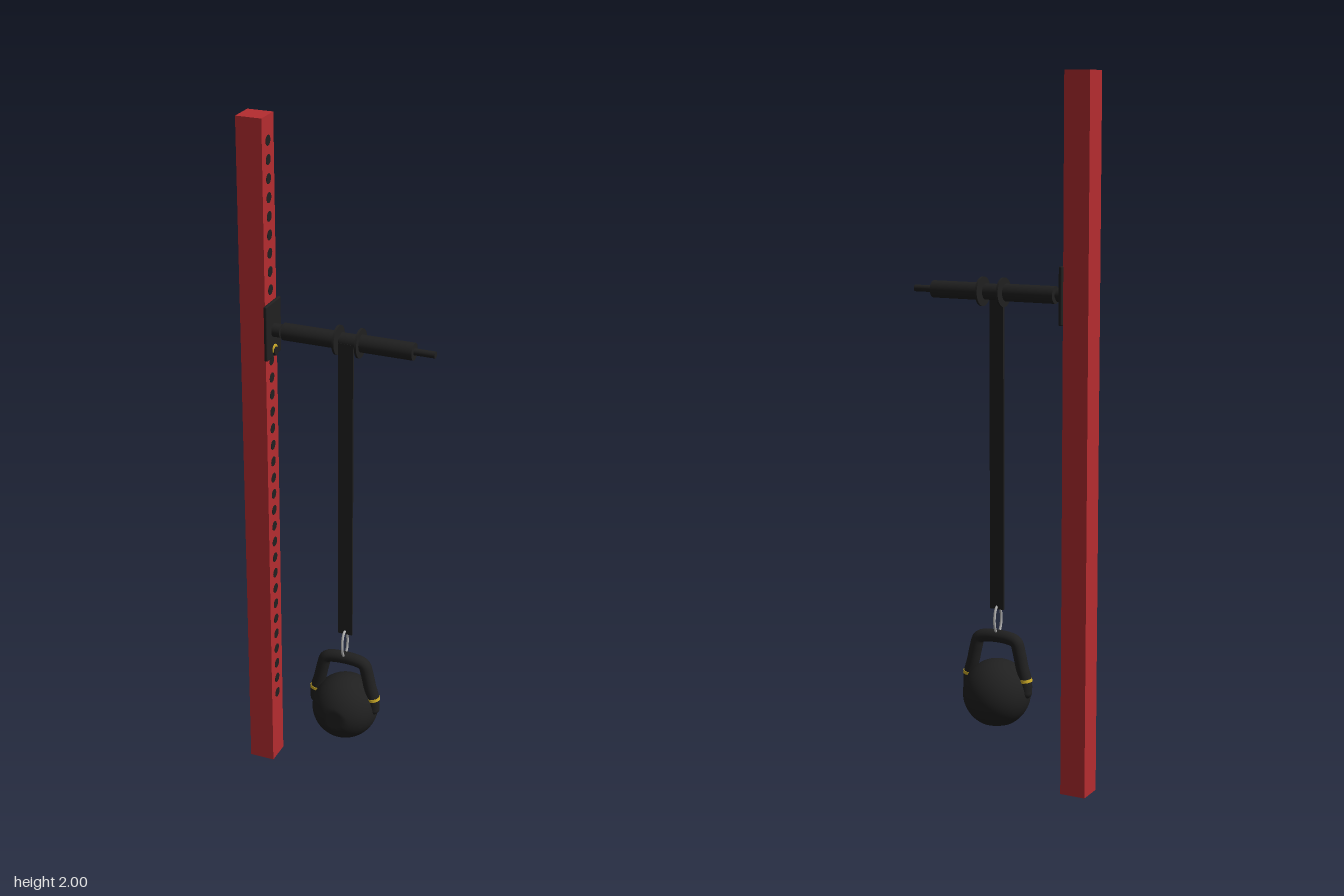
import * as THREE from 'three';
import { RoundedBoxGeometry } from 'three/addons/geometries/RoundedBoxGeometry.js';

const material = (name, color, side = THREE.FrontSide) => {
  const m = new THREE.MeshStandardMaterial({ color, side });
  m.name = name;
  return m;
};

export function createModel() {
  const red = material('red paint', 0xb52c30);
  const black = material('matt black', 0x202020);
  const gold = material('gold', 0xd0ae28);
  const steel = material('steel', 0xb4b4b4);

  const root = new THREE.Group();
  root.name = 'gripTrainer';
  const armY = 1.403, armZ = -0.018;
  const bellX = 0.028, bellY = 0.248;

  const add = (name, geometry, mat, x = 0, y = 0, z = 0, parent = root) => {
    const mesh = new THREE.Mesh(geometry, mat);
    mesh.name = name;
    mesh.position.set(x, y, z);
    parent.add(mesh);
    return mesh;
  };
  // Cylinder lying along x, from x0 to x1
  const rod = (name, x0, x1, r, mat = black, y = armY, z = armZ, sides = 32) =>
    add(name, new THREE.CylinderGeometry(r, r, x1 - x0, sides).rotateZ(Math.PI / 2),
      mat, (x0 + x1) / 2, y, z);

  // Upright post with a row of pin holes on its inner face
  add('post', new THREE.BoxGeometry(0.075, 2, 0.075), red, -0.24, 1, armZ);
  for (let i = 0; i < 34; i++) {
    rod('pinHole', -0.2035, -0.2015, 0.0145, black, 1.933 - i * 0.0518, armZ, 20);
  }

  // Mounting plate with its lower locking bolt
  add('mountPlate', new RoundedBoxGeometry(0.01, 0.16, 0.095, 3, 0.0035), black, -0.198, 1.405, armZ);
  rod('lockBolt', -0.194, -0.186, 0.012, black, 1.341);
  rod('lockWasher', -0.194, -0.19, 0.014, gold, 1.347);

  // Horizontal arm: core, grips, flanges and end pin
  rod('armCollar', -0.194, -0.17, 0.019);
  rod('armCore', -0.172, 0.277, 0.0095);
  rod('innerGrip', -0.163, -0.011, 0.0243);
  rod('outerGrip', 0.065, 0.217, 0.0243);
  for (const x of [-0.003, 0.062]) rod('flange', x - 0.003, x + 0.003, 0.041);

  // Strap looped over the arm and hanging down its front
  rod('strapLoop', 0.007, 0.052, 0.0225);
  add('strap', new THREE.BoxGeometry(0.043, 0.908, 0.007), black, bellX, 0.949, 0.002);

  // Oval carabiner joining the strap to the handle
  const oval = new THREE.CatmullRomCurve3(
    Array.from({ length: 16 }, (_, i) => {
      const a = i / 16 * Math.PI * 2;
      return new THREE.Vector3(0, 0.041 * Math.sin(a), 0.021 * Math.cos(a));
    }), true);
  add('carabiner', new THREE.TubeGeometry(oval, 48, 0.0038, 10, true), steel, bellX, 0.463, 0.006);

  // Kettlebell body: a sphere flattened at the base and front
  const bell = new THREE.Group();
  bell.name = 'kettlebell';
  bell.position.set(bellX, bellY, 0);
  root.add(bell);
  const ball = new THREE.SphereGeometry(0.098, 64, 48);
  const p = ball.attributes.position;
  for (let i = 0; i < p.count; i++) {
    p.setY(i, Math.max(p.getY(i), -0.085));
    p.setZ(i, Math.min(p.getZ(i), 0.092));
  }
  ball.computeVertexNormals();
  add('bellBody', ball, black, 0, 0, 0, bell);

  // Handle, built from one mirrored half profile
  const half = [[0.091, 0.012], [0.09, 0.045], [0.079, 0.085], [0.07, 0.125], [0.06, 0.155], [0.038, 0.164]];
  const path = new THREE.CatmullRomCurve3([
    ...half.map(([x, y]) => new THREE.Vector3(-x, y, 0.004)),
    ...half.slice().reverse().map(([x, y]) => new THREE.Vector3(x, y, 0.004)),
  ]);
  add('handle', new THREE.TubeGeometry(path, 64, 0.0185, 18), black, 0, 0, 0, bell);
  // Handle ends and coloured bands on both sides
  for (const s of [-1, 1]) {
    add('handleEnd', new THREE.SphereGeometry(0.0185, 18, 12), black, s * 0.091, 0.012, 0.004, bell);
    const band = add('handleBand', new THREE.CylinderGeometry(0.0197, 0.0197, 0.009, 24),
      gold, s * 0.09, 0.047, 0.004, bell);
    band.rotation.z = s * 0.16;
  }
  return root;
}
